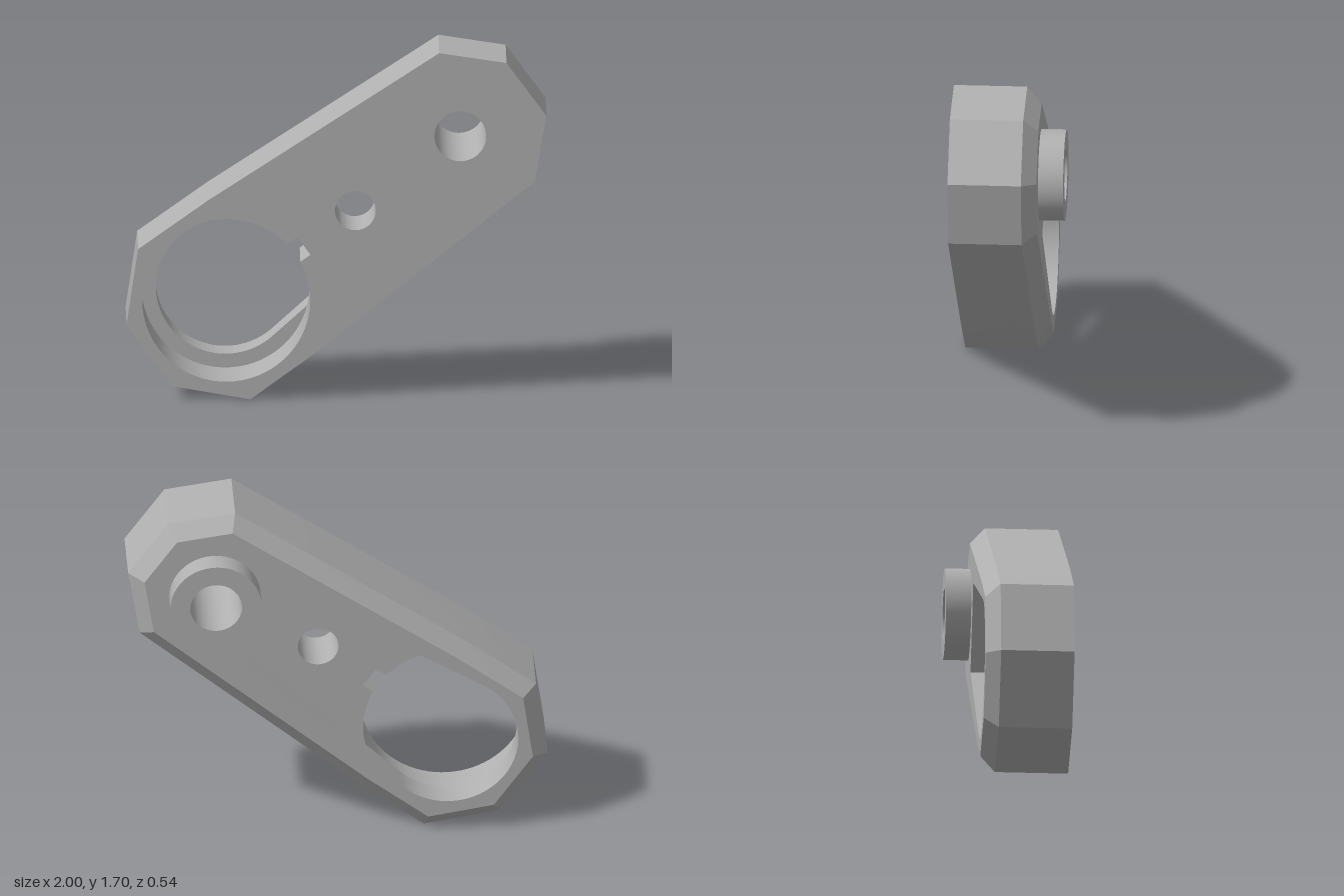
import * as THREE from 'three';
import { toCreasedNormals } from 'three/addons/utils/BufferGeometryUtils.js';

const V = (x, y) => new THREE.Vector2(x, y);
const BORE = V(-0.525, 0.487), PIN = V(0.09, 0.927), BOSS = V(0.59, 1.291);
const AXIS = BOSS.clone().sub(BORE).angle();

// Counter-clockwise outline of the arm
const OUTLINE = [
  [0.49, 1.70], [-0.61, 0.98], [-0.945, 0.74], [-1, 0.367], [-0.78, 0.065],
  [-0.41, 0], [-0.10, 0.227], [0.945, 1.067], [1, 1.39], [0.81, 1.65],
].map(([x, y]) => V(x, y));

// Move every edge of a counter-clockwise polygon inward by d
function inset(points, d) {
  const n = points.length;
  const normal = (a, b) => V(a.y - b.y, b.x - a.x).normalize();
  return points.map((p, i) => {
    const a = normal(points[(i + n - 1) % n], p);
    const b = normal(p, points[(i + 1) % n]);
    return a.clone().add(b).multiplyScalar(d / (1 + a.dot(b))).add(p);
  });
}

// Points of an arc, with angles measured from the arm's long axis
function arc(c, r, from, to, steps) {
  return Array.from({ length: steps + 1 }, (_, i) => {
    const t = AXIS + from + (to - from) * i / steps;
    return V(c.x + r * Math.cos(t), c.y + r * Math.sin(t));
  });
}
const circle = (c, r, n = 64) => arc(c, r, 0, Math.PI * 2, n).slice(0, n);

// Point given along and across the arm, from the bore centre
const onAxis = (u, v) => V(u, v).rotateAround(V(0, 0), AXIS).add(BORE);

// Large bore with a square keyway
const key = 0.054, keyAngle = Math.asin(key / 0.4);
const boreHole = [
  ...arc(BORE, 0.4, keyAngle, Math.PI * 2 - keyAngle, 80),
  onAxis(0.456, -key), onAxis(0.456, key),
];

// Tapered pocket: round around the bore, flat next to the boss
const taper = THREE.MathUtils.degToRad(6.3), tangent = Math.PI / 2 - taper;
const end = 1.045, half = 0.332 - end * Math.tan(taper);
const pocket = [
  ...arc(BORE, 0.332, tangent, Math.PI * 2 - tangent, 48),
  onAxis(end, -half), onAxis(end, half),
];

const boltHole = circle(BOSS, 0.123);

function plate(outer, holes, z0, z1) {
  const shape = new THREE.Shape(outer);
  shape.holes = holes.map(h => new THREE.Path(h));
  return new THREE.ExtrudeGeometry(shape, { depth: z1 - z0, bevelEnabled: false })
    .translate(0, 0, z0);
}

export function createModel() {
  const group = new THREE.Group();
  const grey = new THREE.MeshStandardMaterial({ color: 0xb0b0b0 });
  grey.name = 'grey';
  const add = (name, geometry) => {
    const mesh = new THREE.Mesh(toCreasedNormals(geometry, 0.2), grey);
    mesh.name = name;
    group.add(mesh);
  };

  // Front half with bore and keyway, back half with pocket
  add('frontPlate', plate(OUTLINE, [boreHole, circle(PIN, 0.097), boltHole], 0, 0.27));
  add('backPlate', plate(OUTLINE, [pocket, boltHole], -0.08, 0));

  // Chamfered rim: the inset outline spreads to the full outline at its front
  const small = inset(OUTLINE, 0.07);
  const rim = plate(small, [pocket, boltHole], -0.15, -0.08);
  const pos = rim.attributes.position;
  for (let i = 0; i < pos.count; i++) {
    if (pos.getZ(i) < -0.1) continue;
    const p = V(pos.getX(i), pos.getY(i));
    const k = small.findIndex(s => s.distanceTo(p) < 1e-4);
    if (k >= 0) pos.setXY(i, OUTLINE[k].x, OUTLINE[k].y);
  }
  add('chamferedRim', rim);

  // Raised ring around the bolt hole
  add('boss', plate(circle(BOSS, 0.218), [boltHole], -0.27, -0.15));
  return group;
}
